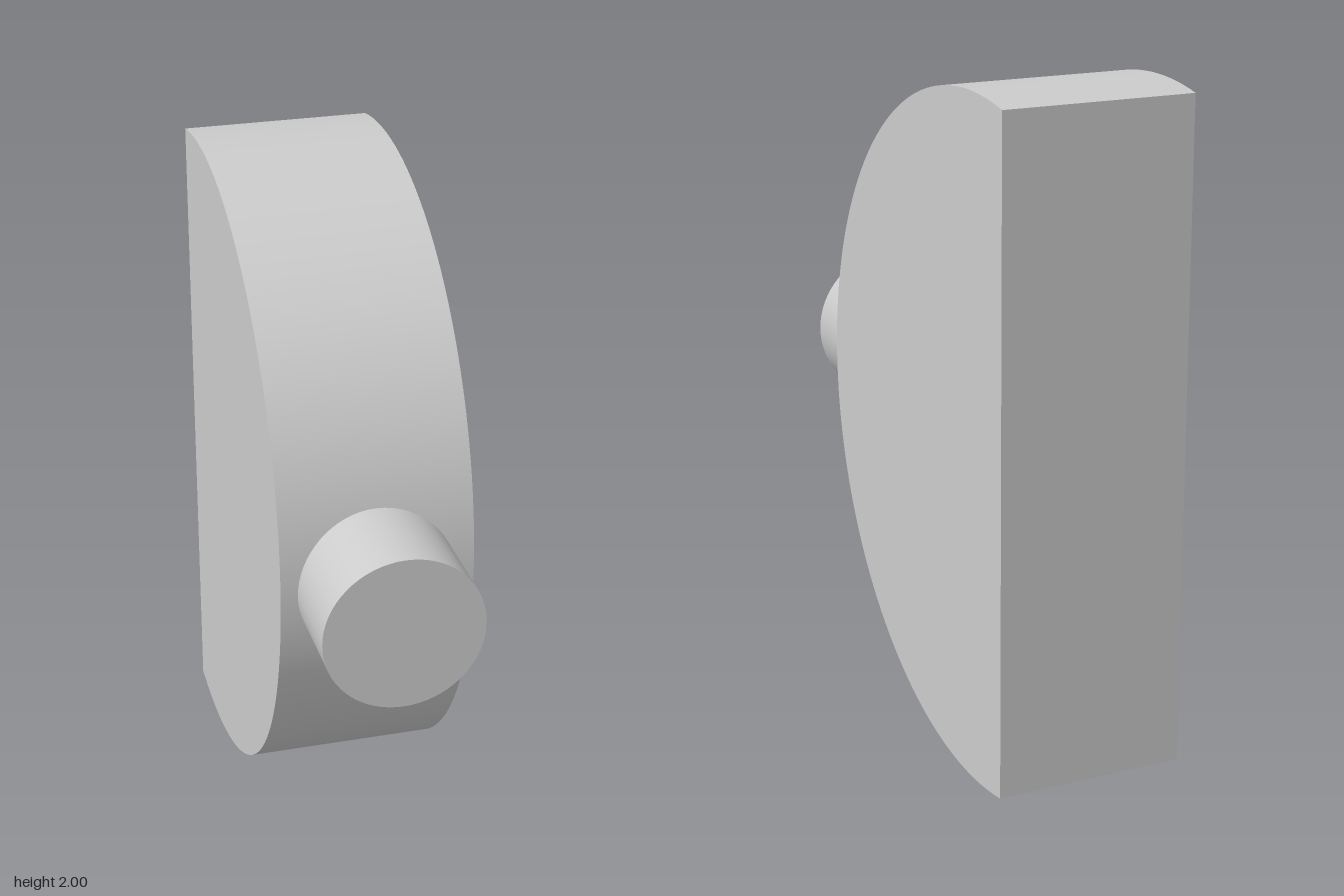
import * as THREE from 'three';
import { toCreasedNormals } from 'three/addons/utils/BufferGeometryUtils.js';

const RADIUS = 1, CENTER_Z = -0.54, BACK_Z = -0.735, WIDTH = 0.57;
const PEG_RADIUS = 0.235, PEG_START = 0.42, PEG_END = 0.735;

export function createModel() {
  const group = new THREE.Group();
  const material = new THREE.MeshStandardMaterial({ color: 0xcccccc });

  // Disc cut flat at the back: profile drawn in (z, y), extruded across x
  const cut = Math.acos((BACK_Z - CENTER_Z) / RADIUS);
  const profile = new THREE.Shape();
  profile.absarc(CENTER_Z, RADIUS, RADIUS, -cut, cut, false);
  profile.closePath();
  const bodyGeometry = new THREE.ExtrudeGeometry(profile, {
    depth: WIDTH, bevelEnabled: false, curveSegments: 96,
  });
  bodyGeometry.rotateY(-Math.PI / 2).translate(WIDTH / 2, 0, 0);
  const body = new THREE.Mesh(toCreasedNormals(bodyGeometry, Math.PI / 6), material);
  body.name = 'truncatedDisc';
  group.add(body);

  // Round peg at the middle of the curved front, sunk slightly into the disc
  const pegGeometry = new THREE.CylinderGeometry(PEG_RADIUS, PEG_RADIUS, PEG_END - PEG_START, 64);
  pegGeometry.rotateX(Math.PI / 2);
  const peg = new THREE.Mesh(pegGeometry, material);
  peg.name = 'frontPeg';
  peg.position.set(0, RADIUS, (PEG_START + PEG_END) / 2);
  group.add(peg);

  return group;
}
